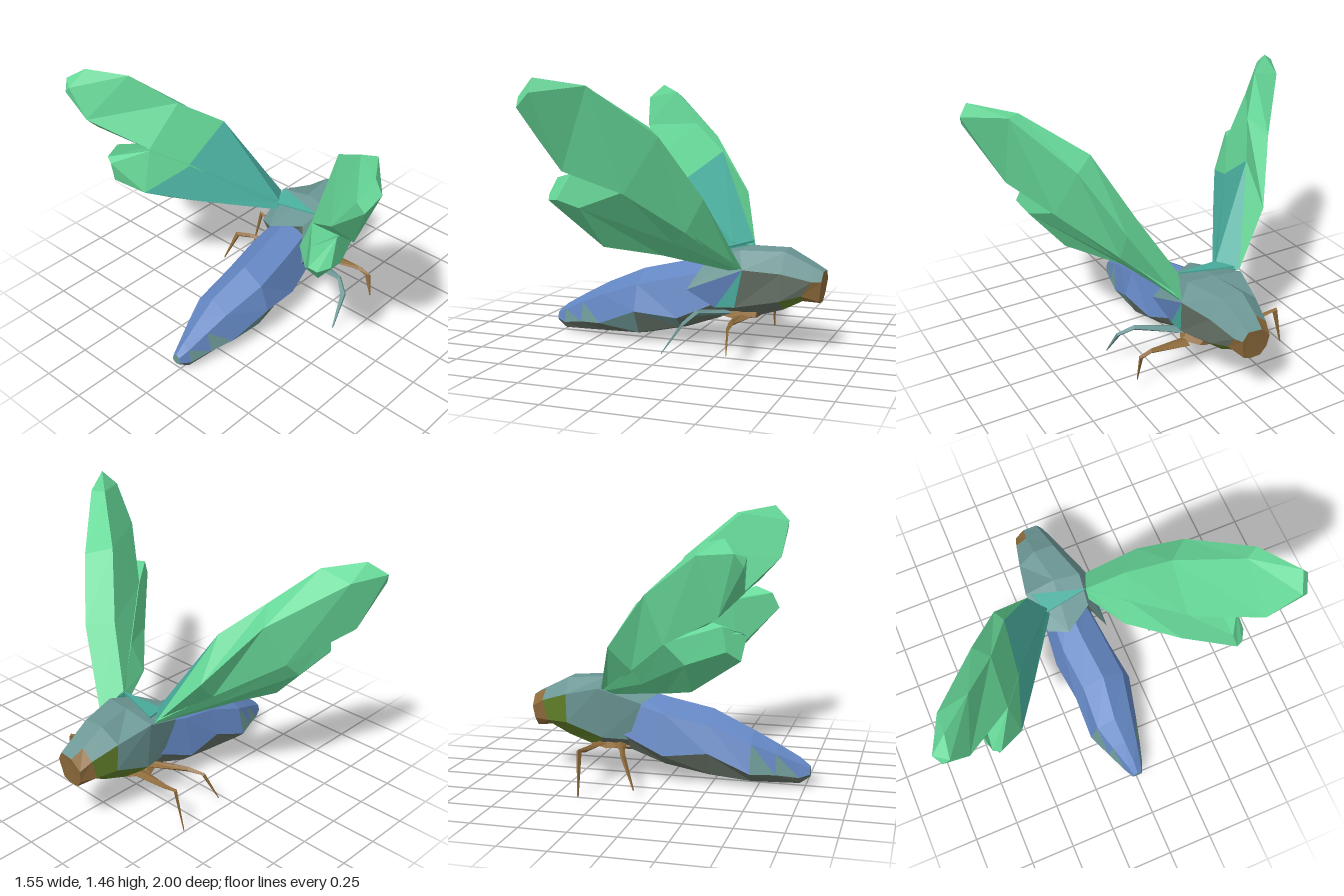
import * as THREE from 'three';

const mat = (name, color) => {
  const m = new THREE.MeshStandardMaterial({ color });
  m.name = name;
  return m;
};

// Skin a list of rings (arrays of [x,y,z]) with flat facets; pick(segment, side, half) gives the material.
function loft(name, rings, pick, startMat, endMat) {
  const buckets = new Map();
  const n = rings[0].length;
  let volume = 0;
  const tri = (m, a, b, c) => {
    if (!buckets.has(m)) buckets.set(m, []);
    buckets.get(m).push([a, b, c]);
    volume += new THREE.Vector3(...a).dot(new THREE.Vector3(...b).cross(new THREE.Vector3(...c)));
  };
  for (let i = 0; i < rings.length - 1; i++) {
    for (let j = 0; j < n; j++) {
      const k = (j + 1) % n;
      tri(pick(i, j, 0), rings[i][j], rings[i][k], rings[i + 1][k]);
      tri(pick(i, j, 1), rings[i][j], rings[i + 1][k], rings[i + 1][j]);
    }
  }
  const last = rings[rings.length - 1];
  for (let j = 1; j < n - 1; j++) {
    tri(startMat, rings[0][0], rings[0][j + 1], rings[0][j]);
    tri(endMat, last[0], last[j], last[j + 1]);
  }
  // One geometry group per colour, wound outward
  const g = new THREE.BufferGeometry(), pos = [], mats = [];
  for (const [m, tris] of buckets) {
    g.addGroup(pos.length / 3, tris.length * 3, mats.length);
    mats.push(m);
    for (const [a, b, c] of tris) pos.push(...a, ...(volume > 0 ? b : c), ...(volume > 0 ? c : b));
  }
  g.setAttribute('position', new THREE.Float32BufferAttribute(pos, 3));
  g.computeVertexNormals();
  const mesh = new THREE.Mesh(g, mats);
  mesh.name = name;
  return mesh;
}

// Eight-sided body ring from a half profile of [z, y] factors
function bodyRing([x, top, bottom, half, zc, edge = -0.4]) {
  const profile = [[0, 1], [0.72, 0.62], [1, edge], [0.6, -0.87], [0, -1]];
  const full = [...profile, ...profile.slice(1, -1).reverse().map(([z, y]) => [-z, y])];
  return full.map(([z, y]) => [x, (top + bottom) / 2 + y * (top - bottom) / 2, zc + z * half]);
}

export function createModel() {
  const green = mat('wing green', 0x66d898);
  const teal = mat('wing root teal', 0x4aaf9f);
  const blue = mat('abdomen blue', 0x6386c2);
  const slate = mat('thorax slate', 0x6c9795);
  const grey = mat('underside grey', 0x667367);
  const olive = mat('throat olive', 0x62802a);
  const brown = mat('head and leg brown', 0x8f6c3c);
  const model = new THREE.Group();
  model.name = 'insect';

  // Abdomen: x, top, bottom, half width, z centre, height of the widest edge
  const abdomen = [
    [-0.775, 0.12, 0.06, 0.03, 0], [-0.72, 0.165, 0.02, 0.055, 0], [-0.6, 0.235, 0.022, 0.1, -0.01],
    [-0.47, 0.305, 0.025, 0.145, -0.02, -0.5], [-0.24, 0.405, 0.035, 0.17, 0.005, -0.15],
    [0, 0.46, 0.085, 0.17, -0.02, -0.55], [0.24, 0.52, 0.17, 0.14, -0.03],
  ].map(bodyRing);
  model.add(loft('abdomen', abdomen, (i, j, half) => {
    if (i === 1 || i === 2) {
      if ((j === 1 && half === 0) || (j === 6 && half === 1)) return slate;
    }
    if ((i === 3 || i === 4) && j === 2 && half === 1) return slate;
    return j < 2 || j > 5 ? blue : grey;
  }, slate, slate));

  // Thorax and head, front to back, each ring listed from the upper left corner downwards
  const body = [
    [[0.77, 0.45, 0], [0.765, 0.4, 0.03], [0.75, 0.29, 0.01], [0.75, 0.275, -0.03],
      [0.75, 0.275, -0.09], [0.755, 0.32, -0.125], [0.765, 0.39, -0.135], [0.772, 0.445, -0.08]],
    [[0.71, 0.48, 0.01], [0.72, 0.4, 0.05], [0.66, 0.32, 0.05], [0.66, 0.285, 0],
      [0.66, 0.285, -0.1], [0.67, 0.32, -0.155], [0.7, 0.43, -0.155], [0.7, 0.485, -0.09]],
    [[0.57, 0.55, 0.03], [0.56, 0.44, 0.095], [0.55, 0.29, 0.09], [0.56, 0.235, 0.02],
      [0.56, 0.235, -0.1], [0.55, 0.32, -0.18], [0.55, 0.48, -0.19], [0.57, 0.555, -0.09]],
    [[0.34, 0.555, 0.1], [0.37, 0.46, 0.155], [0.32, 0.25, 0.13], [0.38, 0.18, 0.02],
      [0.38, 0.18, -0.12], [0.34, 0.25, -0.19], [0.35, 0.53, -0.228], [0.36, 0.562, -0.05]],
    [[0.16, 0.505, 0.08], [0.06, 0.335, 0.158], [0.21, 0.24, 0.125], [0.2, 0.17, 0],
      [0.2, 0.17, -0.1], [0.2, 0.24, -0.16], [0.12, 0.45, -0.185], [0.06, 0.485, -0.08]],
  ];
  model.add(loft('thorax and head', body, (i, j, half) => {
    if (j === 7 || (j === 0 && i > 0)) return slate;
    if (i === 0) return j === 0 ? slate : brown;
    if (j === 6) return slate;
    if (i === 3) {
      if (j === 1) return half === 0 ? teal : blue;
      return j === 3 ? brown : j === 5 ? slate : grey;
    }
    if (j === 1) return grey;
    if (j === 5) return i === 1 ? olive : slate;
    return j === 2 && i === 2 ? grey : olive;
  }, brown, grey));

  // Teal saddle between the wing roots
  const saddle = [[0.2, 0.542, -0.16], [0.33, 0.56, -0.2], [0.24, 0.562, 0.1]];
  const saddleBase = saddle.map(([x, y, z]) => [x, y - 0.009, z]);
  model.add(loft('saddle', [saddleBase, saddle], () => teal, teal, teal));

  // Wing sections: outer leading, inner leading, inner trailing, outer trailing corner;
  // the hind lobes add an outer ridge point
  const leftWing = {
    fore: [
      [[0.37, 0.46, 0.15], [0.24, 0.56, 0.1], [0.2, 0.5, 0.11], [0.33, 0.46, 0.14]],
      [[0.24, 0.86, 0.4], [0.13, 0.87, 0.28], [0.02, 0.7, 0.27], [0.14, 0.68, 0.39]],
      [[0.07, 1.18, 0.58], [-0.03, 1.22, 0.46], [-0.25, 0.93, 0.48], [-0.09, 0.9, 0.65]],
      [[-0.2, 1.43, 0.82], [-0.24, 1.43, 0.75], [-0.48, 1.17, 0.78], [-0.34, 1.02, 0.81]],
      [[-0.41, 1.4, 1.0], [-0.41, 1.47, 0.96], [-0.5, 1.38, 0.93], [-0.49, 1.33, 0.97]],
    ],
    hind: [
      [[0.36, 0.47, 0.15], [0.24, 0.55, 0.1], [0.2, 0.49, 0.1], [0.3, 0.45, 0.14], [0.34, 0.46, 0.15]],
      [[0.14, 0.69, 0.39], [0.02, 0.71, 0.27], [-0.03, 0.54, 0.22], [-0.02, 0.54, 0.3], [0.06, 0.62, 0.36]],
      [[-0.09, 0.91, 0.65], [-0.25, 0.94, 0.48], [-0.27, 0.65, 0.46], [-0.25, 0.61, 0.53], [-0.3, 0.83, 0.71]],
      [[-0.34, 1.0, 0.71], [-0.45, 0.97, 0.64], [-0.49, 0.88, 0.66], [-0.47, 0.86, 0.7], [-0.41, 0.87, 0.735]],
    ],
  };
  const rightWing = {
    fore: [
      [[0.33, 0.53, -0.23], [0.22, 0.55, -0.15], [0.2, 0.51, -0.15], [0.3, 0.52, -0.21]],
      [[0.22, 0.8, -0.45], [0.07, 1.03, -0.43], [-0.18, 0.85, -0.46], [0.1, 0.68, -0.43]],
      [[-0.03, 1.1, -0.64], [-0.14, 1.18, -0.57], [-0.36, 0.98, -0.58], [-0.14, 0.87, -0.7]],
      [[-0.35, 1.32, -0.91], [-0.33, 1.36, -0.74], [-0.56, 1.15, -0.84], [-0.45, 1.04, -0.9]],
      [[-0.54, 1.34, -1.0], [-0.48, 1.4, -0.91], [-0.585, 1.32, -0.93], [-0.58, 1.28, -0.97]],
    ],
    hind: [
      [[0.32, 0.53, -0.22], [0.22, 0.54, -0.15], [0.2, 0.5, -0.14], [0.28, 0.5, -0.2], [0.31, 0.52, -0.22]],
      [[0.1, 0.69, -0.43], [-0.18, 0.84, -0.46], [-0.18, 0.64, -0.38], [-0.08, 0.57, -0.42], [0.05, 0.61, -0.41]],
      [[-0.14, 0.88, -0.7], [-0.36, 0.97, -0.58], [-0.44, 0.75, -0.55], [-0.25, 0.62, -0.57], [-0.25, 0.78, -0.71]],
      [[-0.44, 0.98, -0.75], [-0.53, 0.95, -0.73], [-0.545, 0.93, -0.69], [-0.52, 0.81, -0.7], [-0.46, 0.86, -0.75]],
    ],
  };
  for (const [side, wing, inner] of [['left', leftWing, green], ['right', rightWing, teal]]) {
    model.add(loft(`${side} wing fore lobe`, wing.fore, (i, j, half) => {
      return i === 0 && (j === 1 || (j === 0 && half === 0)) ? inner : green;
    }, teal, green));
    model.add(loft(`${side} wing hind lobe`, wing.hind, (i, j, half) => {
      if (j === 1 && (i === 0 || (i === 1 && half === 0))) return inner;
      return j === 2 && (i === 0 || (i === 1 && half === 0)) ? teal : green;
    }, teal, green));
  }

  // Legs: hip, knee, ankle bend and foot, each with width along x and thickness
  const leg = (name, points, m) => {
    const sizes = [[0.09, 0.03], [0.03, 0.03], [0.022, 0.022], [0.006, 0.006]];
    const rings = points.map(([x, y, z], i) => {
      const w = sizes[i][0] / 2, t = sizes[i][1] / 2, lean = i > 1 ? Math.sign(z) * t : 0;
      return [[x - w, y, z - lean], [x, y + t, z + lean], [x + w, y, z + lean], [x, y - t, z - lean]];
    });
    model.add(loft(name, rings, () => m, m, m));
  };
  leg('front leg right', [[0.36, 0.2, -0.08], [0.38, 0.225, -0.36], [0.385, 0.24, -0.44], [0.375, 0.01, -0.495]], brown);
  leg('front leg left', [[0.36, 0.2, 0.12], [0.37, 0.22, 0.34], [0.37, 0.2, 0.4], [0.37, 0.07, 0.425]], brown);
  leg('rear leg right', [[0.28, 0.2, -0.08], [0.18, 0.23, -0.34], [0.15, 0.22, -0.42], [0.08, 0.06, -0.47]], brown);
  leg('rear leg left', [[0.26, 0.21, 0.08], [0.18, 0.26, 0.34], [0.13, 0.21, 0.41], [0.02, 0.05, 0.43]], slate);
  // Underbody the legs spring from
  const base = [[0.2, 0.23, 0.175, 0.1, -0.03], [0.32, 0.24, 0.17, 0.16, -0.03], [0.42, 0.23, 0.18, 0.1, -0.03]];
  model.add(loft('leg base', base.map(bodyRing), () => brown, brown, brown));

  return model;
}
